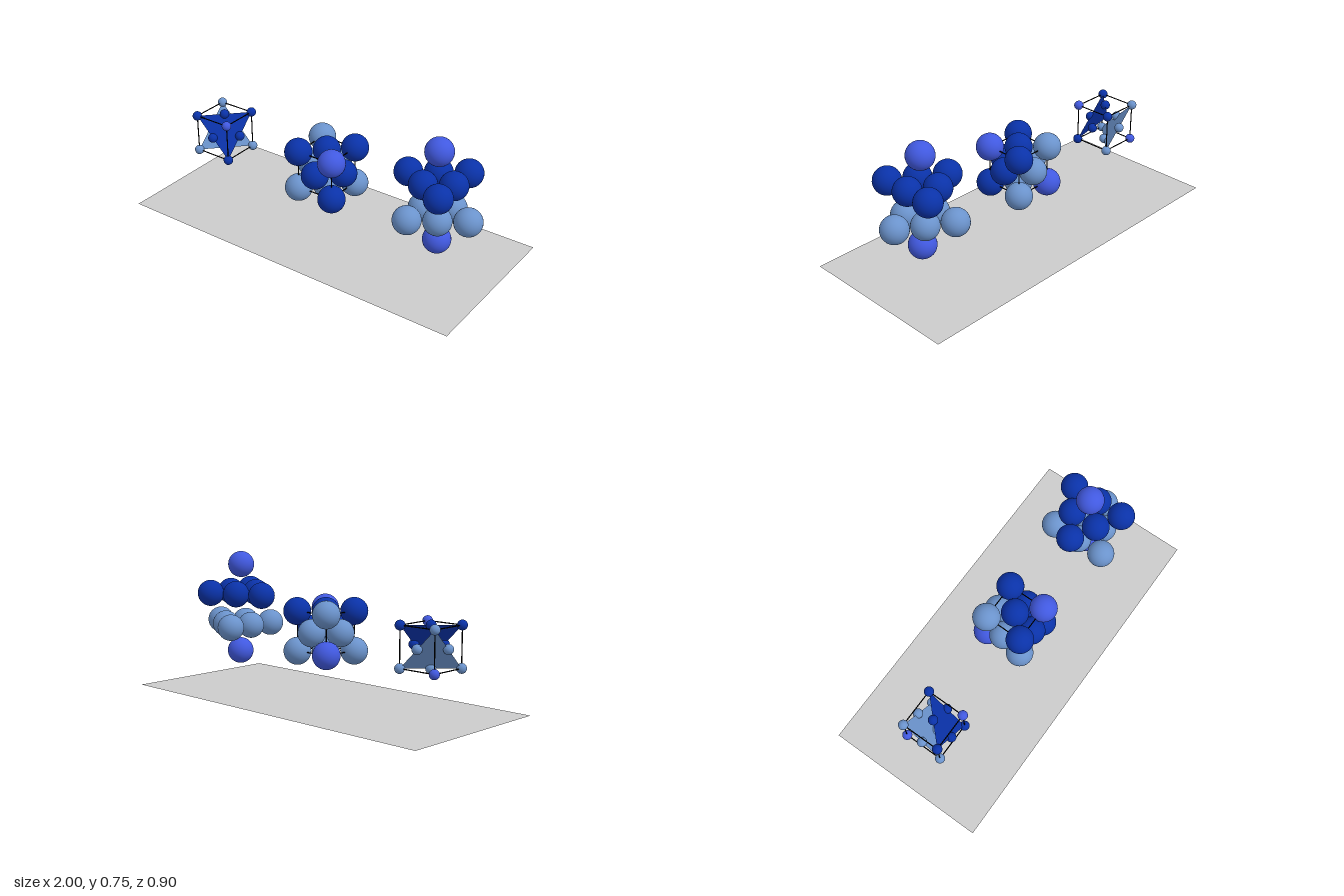
import * as THREE from 'three';

const A = 0.2124;          // cell edge length
const H = A / 2;
const BIG = 0.0737;        // close-packed ball radius
const SMALL = 0.026;       // lattice point radius

const material = (color, side = THREE.FrontSide) => new THREE.MeshStandardMaterial({ color, side });
const violet = material(0x4159e0);
const dark = material(0x0a32a8);
const light = material(0x6b93cc);

function ball(name, radius, mat, position) {
  const mesh = new THREE.Mesh(new THREE.SphereGeometry(radius, 32, 20), mat);
  mesh.name = name;
  mesh.position.copy(position);
  return mesh;
}

// Corners and face centres of a cube, coloured by layer along the body diagonal
function latticeBalls(radius) {
  const group = new THREE.Group();
  group.name = 'latticeBalls';
  const steps = [-1, 0, 1];
  for (const x of steps) for (const y of steps) for (const z of steps) {
    const used = Math.abs(x) + Math.abs(y) + Math.abs(z);
    if (used !== 1 && used !== 3) continue;
    const sum = x + y + z;
    const mat = Math.abs(sum) === 3 ? violet : sum > 0 ? dark : light;
    group.add(ball(used === 3 ? 'cornerBall' : 'faceBall', radius, mat,
      new THREE.Vector3(x, y, z).multiplyScalar(H)));
  }
  return group;
}

// Twelve thin rods along the cube's edges
function cellFrame() {
  const group = new THREE.Group();
  group.name = 'cellFrame';
  const black = material(0x000000);
  const rod = new THREE.CylinderGeometry(0.003, 0.003, A, 8);
  for (const s of [-H, H]) for (const t of [-H, H]) {
    for (const axis of ['x', 'y', 'z']) {
      const mesh = new THREE.Mesh(rod, black);
      mesh.name = 'cellEdge';
      if (axis === 'x') { mesh.rotation.z = Math.PI / 2; mesh.position.set(0, s, t); }
      if (axis === 'y') mesh.position.set(s, 0, t);
      if (axis === 'z') { mesh.rotation.x = Math.PI / 2; mesh.position.set(s, t, 0); }
      group.add(mesh);
    }
  }
  return group;
}

// Triangular plane through three corners of the cell
function latticePlane(name, s, color) {
  const geometry = new THREE.BufferGeometry();
  const points = [[-s, s, s], [s, -s, s], [s, s, -s]].flat().map(v => v * H);
  geometry.setAttribute('position', new THREE.Float32BufferAttribute(points, 3));
  geometry.computeVertexNormals();
  const mesh = new THREE.Mesh(geometry, material(color, THREE.DoubleSide));
  mesh.name = name;
  return mesh;
}

// Six balls in a triangle: three tips and the three midpoints between them
function ballLayer(name, mat, y, startAngle) {
  const group = new THREE.Group();
  group.name = name;
  const tip = A * Math.SQRT2 / Math.sqrt(3);
  for (let i = 0; i < 6; i++) {
    const angle = startAngle + i * Math.PI / 3;
    const r = i % 2 ? tip / 2 : tip;
    group.add(ball('layerBall', BIG, mat,
      new THREE.Vector3(Math.cos(angle) * r, y, Math.sin(angle) * r)));
  }
  return group;
}

export function createModel() {
  const model = new THREE.Group();
  model.name = 'crystalCells';

  // Flat base sheet
  const base = new THREE.Mesh(new THREE.PlaneGeometry(2, 0.905), material(0xcccccc, THREE.DoubleSide));
  base.name = 'base';
  base.rotation.x = -Math.PI / 2;
  model.add(base);

  // Open cell with its two planes
  const openCell = new THREE.Group();
  openCell.name = 'openCell';
  openCell.position.set(-0.71, 0.367, 0.0145);
  openCell.add(latticeBalls(SMALL), cellFrame(),
    latticePlane('darkPlane', 1, 0x0a32a8), latticePlane('lightPlane', -1, 0x6b93cc));
  model.add(openCell);

  // Filled cell of touching balls
  const filledCell = new THREE.Group();
  filledCell.name = 'filledCell';
  filledCell.position.set(-0.006, 0.367, 0.0145);
  filledCell.add(latticeBalls(BIG), cellFrame());
  model.add(filledCell);

  // Pulled-apart stack of layers, leaning slightly
  const stack = new THREE.Group();
  stack.name = 'layerStack';
  stack.position.set(0.669, 0.43, 0.0145);
  stack.rotation.z = 0.026;
  stack.add(
    ball('topBall', BIG, violet, new THREE.Vector3(0, 0.248, 0)),
    ballLayer('darkLayer', dark, 0.086, Math.PI),
    ballLayer('lightLayer', light, -0.091, 0),
    ball('bottomBall', BIG, violet, new THREE.Vector3(0, -0.249, 0)));
  model.add(stack);

  return model;
}
